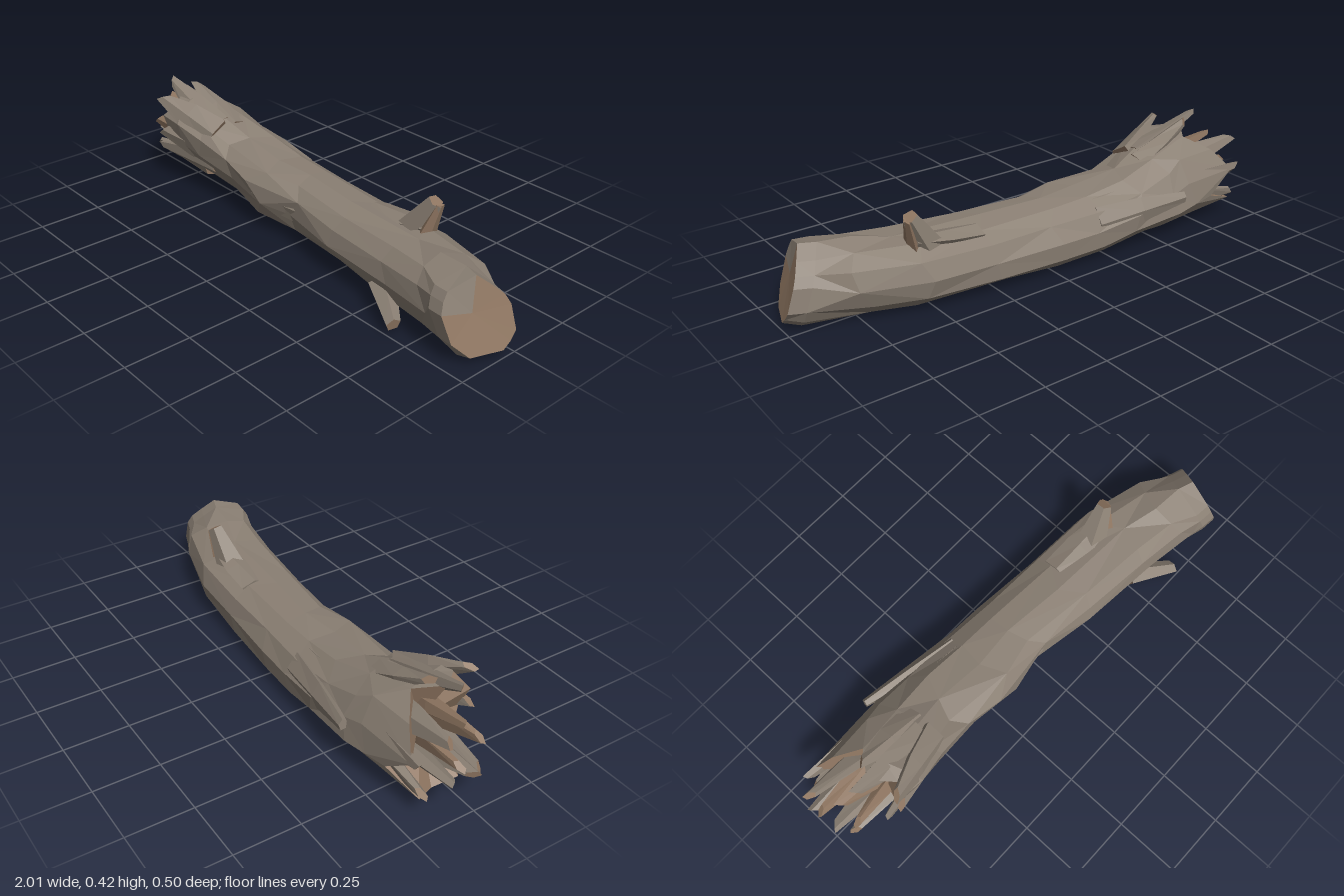
import * as THREE from 'three';

const N = 12; // points around the trunk

// small seeded generator for bark irregularity
function makeRandom(seed) {
  let s = seed;
  return () => (s = (s * 16807) % 2147483647) / 2147483647;
}

function faceted(positions, indices) {
  const g = new THREE.BufferGeometry();
  g.setAttribute('position', new THREE.Float32BufferAttribute(positions.flat(), 3));
  g.setIndex(indices);
  const out = g.toNonIndexed();
  out.computeVertexNormals();
  return out;
}

// skin between consecutive rings
function loft(rings) {
  const idx = [];
  for (let j = 0; j < rings.length - 1; j++) {
    for (let i = 0; i < N; i++) {
      const k = (i + 1) % N;
      const a = j * N + i, b = j * N + k, c = a + N, d = b + N;
      if ((i + j) % 2) idx.push(a, c, b, b, c, d);
      else idx.push(a, c, d, a, d, b);
    }
  }
  return faceted(rings.flat(), idx);
}

// fan that closes part of a ring on a centre point
function cap(ring, centre, facesPlusX, first = 0, count = N) {
  const idx = [];
  for (let n = 0; n < count; n++) {
    const i = (first + n) % N, k = (i + 1) % N;
    idx.push(N, facesPlusX ? k : i, facesPlusX ? i : k);
  }
  return faceted([...ring, centre], idx);
}

// tapered flat stick from base to tip; "out" is the direction of its thin side
function stick({ base, tip, out, w, t, taper = 0.3, slant = 0, bulge = 1.2, sides = 5 }) {
  const from = new THREE.Vector3(...base), to = new THREE.Vector3(...tip);
  const dir = to.clone().sub(from);
  const len = dir.length();
  dir.normalize();
  const g = new THREE.CylinderGeometry(taper, 1, len, sides, 2);
  const p = g.attributes.position;
  for (let i = 0; i < p.count; i++) {
    const y = p.getY(i), x = p.getX(i);
    if (y > len * 0.4) p.setY(i, y + x * slant);
    else if (y > -len * 0.4) p.setX(i, x * bulge);
  }
  g.scale(w, 1, t);
  const side = new THREE.Vector3().crossVectors(dir, new THREE.Vector3(...out)).normalize();
  const thin = new THREE.Vector3().crossVectors(side, dir);
  g.applyMatrix4(new THREE.Matrix4().makeBasis(side, dir, thin));
  g.translate((from.x + to.x) / 2, (from.y + to.y) / 2, (from.z + to.z) / 2);
  return g;
}

export function createModel() {
  const log = new THREE.Group();
  log.name = 'brokenLog';
  const mat = (color) => new THREE.MeshStandardMaterial({ color, flatShading: true, side: THREE.DoubleSide });
  const bark = mat(0x8b8074), wood = mat(0x8f7661);
  const add = (name, geometry, material) => {
    const mesh = new THREE.Mesh(geometry, material);
    mesh.name = name;
    log.add(mesh);
  };
  const rand = makeRandom(4711);

  // trunk outline: x, bottom, top, back z, front z, forward lean of the top
  const sections = [
    [-0.8, 0.05, 0.37, -0.19, 0.13, 0.33],
    [-0.68, 0.045, 0.37, -0.2, 0.14, 0.33],
    [-0.55, 0.04, 0.325, -0.215, 0.125, 0.33],
    [-0.4, 0.03, 0.275, -0.22, 0.105, 0.3],
    [-0.2, 0.005, 0.252, -0.215, 0.135, 0.25],
    [0, 0.002, 0.252, -0.2, 0.105, 0.2],
    [0.24, 0.002, 0.243, -0.185, 0.145, 0.18],
    [0.56, 0.002, 0.252, -0.16, 0.18, 0.1],
    [0.75, 0.004, 0.268, -0.098, 0.21, 0.05],
  ];
  // reach of the torn edge around the trunk, from front over the top
  const tornX = [-0.74, -0.78, -0.73, -0.8, -0.73, -0.82, -0.9, -0.78, -0.92, -0.88, -0.9, -0.77];
  const rings = sections.map(([x, y0, y1, z0, z1, lean], j) =>
    Array.from({ length: N }, (_, i) => {
      const a = (i / N) * Math.PI * 2;
      const r = j === 0 ? 1 : 0.94 + rand() * 0.1;
      const square = (v) => Math.sign(v) * Math.pow(Math.abs(v), 0.87);
      const dy = (y1 - y0) / 2 * r * square(Math.sin(a));
      const z = (z0 + z1) / 2 + (z1 - z0) / 2 * r * square(Math.cos(a)) + lean * dy;
      const px = j === 0 ? tornX[i] : x + (rand() - 0.5) * 0.09;
      return [px, Math.max(0, (y0 + y1) / 2 + dy), z];
    }));

  // slanted cut with a peaked outline: z, y
  const cut = [
    [0.235, 0.18], [0.22, 0.22], [0.2, 0.25], [0.097, 0.282], [0.05, 0.24], [0.015, 0.205],
    [0, 0.17], [0, 0.085], [0.025, 0.055], [0.055, 0.03], [0.17, 0.03], [0.222, 0.085],
  ].map(([z, y]) => [Math.min(1, 1 - 0.35 * z - 0.34 * (y - 0.08)), y, z]);
  // ring just behind the cut that keeps the underside on the ground
  rings.push(cut.map(([x, y, z]) => [x - 0.06, y < 0.06 ? y - 0.02 : y - 0.003, z - (z < 0.1 ? 0.022 : 0.006)]), cut);
  add('trunk', loft(rings), bark);
  const cutCentre = [0.92, 0.165, 0.13];
  add('cutEnd', cap(cut, cutCentre, true, 3, 9), wood);
  add('cutBarkFlap', cap(cut, cutCentre, true, 0, 3), bark);
  add('tornCore', cap(rings[0], [-0.72, 0.2, -0.02], false), wood);

  // splinters around the torn end: base, tip, half width, half thickness, inner wood or not
  const splinters = [
    [[-0.52, 0.27, 0.06], [-0.77, 0.38, 0.14], 0.075, 0.045],
    [[-0.55, 0.28, 0.03], [-0.86, 0.395, 0.03], 0.065, 0.05],
    [[-0.52, 0.27, -0.03], [-0.77, 0.395, -0.03], 0.065, 0.05],
    [[-0.58, 0.23, -0.08], [-0.97, 0.305, -0.1], 0.065, 0.05],
    [[-0.54, 0.17, -0.14], [-0.92, 0.21, -0.18], 0.07, 0.045],
    [[-0.6, 0.12, -0.14], [-0.93, 0.1, -0.165], 0.075, 0.045],
    [[-0.58, 0.12, -0.08], [-0.99, 0.15, -0.09], 0.07, 0.05],
    [[-0.58, 0.1, -0.02], [-0.98, 0.14, 0.0], 0.07, 0.045],
    [[-0.58, 0.11, 0.04], [-0.94, 0.11, 0.06], 0.065, 0.045],
    [[-0.5, 0.15, 0.06], [-0.82, 0.14, 0.115], 0.065, 0.045],
    [[-0.5, 0.2, 0.06], [-0.77, 0.24, 0.145], 0.08, 0.045],
    [[-0.62, 0.18, -0.06], [-0.98, 0.2, -0.06], 0.065, 0.045, true],
    [[-0.62, 0.2, 0.03], [-0.92, 0.22, 0.07], 0.07, 0.045, true],
    [[-0.62, 0.24, 0], [-0.92, 0.3, 0], 0.07, 0.05, true],
  ];
  splinters.forEach(([base, tip, w, t, inner], i) => {
    const out = [0, base[1] - 0.19, base[2] + 0.04];
    const slant = i % 2 ? 0.07 : -0.07;
    add(inner ? 'innerSplinter' : 'splinter', stick({ base, tip, out, w, t, slant }), inner ? wood : [bark, wood, wood]);
  });

  // raised bark slivers: two on the back, one on the front
  const slivers = [
    [[-0.2, 0.15, -0.16], [-0.59, 0.18, -0.235], 0.065, 0.045],
    [[-0.2, 0.2, -0.1], [-0.6, 0.25, -0.145], 0.055, 0.04],
    [[0.08, 0.15, 0.06], [-0.21, 0.15, 0.115], 0.06, 0.04],
  ];
  slivers.forEach(([base, tip, w, t]) =>
    add('barkSliver', stick({ base, tip, out: [0, base[1] - 0.13, base[2] + 0.04], w, t, taper: 0.35 }), bark));

  // upper branch stub, wide at the foot, with a ridge behind it and bare wood on one side
  add('branchStub', stick({ base: [0.465, 0.19, -0.05], tip: [0.56, 0.35, -0.075], out: [1, 0, 0], w: 0.065, t: 0.065, taper: 0.45, bulge: 1 }), [bark, wood, wood]);
  add('branchRidge', stick({ base: [0.28, 0.21, -0.06], tip: [0.54, 0.245, -0.06], out: [0, 1, 0], w: 0.06, t: 0.03, taper: 0.6 }), bark);
  add('branchTear', stick({ base: [0.535, 0.19, -0.045], tip: [0.575, 0.34, -0.08], out: [1, 0, 0], w: 0.055, t: 0.02, taper: 0.4, bulge: 1 }), wood);

  // low branch stub on the front
  add('lowBranchStub', stick({ base: [0.51, 0.075, 0.125], tip: [0.67, 0.035, 0.225], out: [0, 1, 0], w: 0.05, t: 0.045, taper: 0.55, slant: 0.015, bulge: 1 }), [bark, wood, wood]);

  return log;
}
